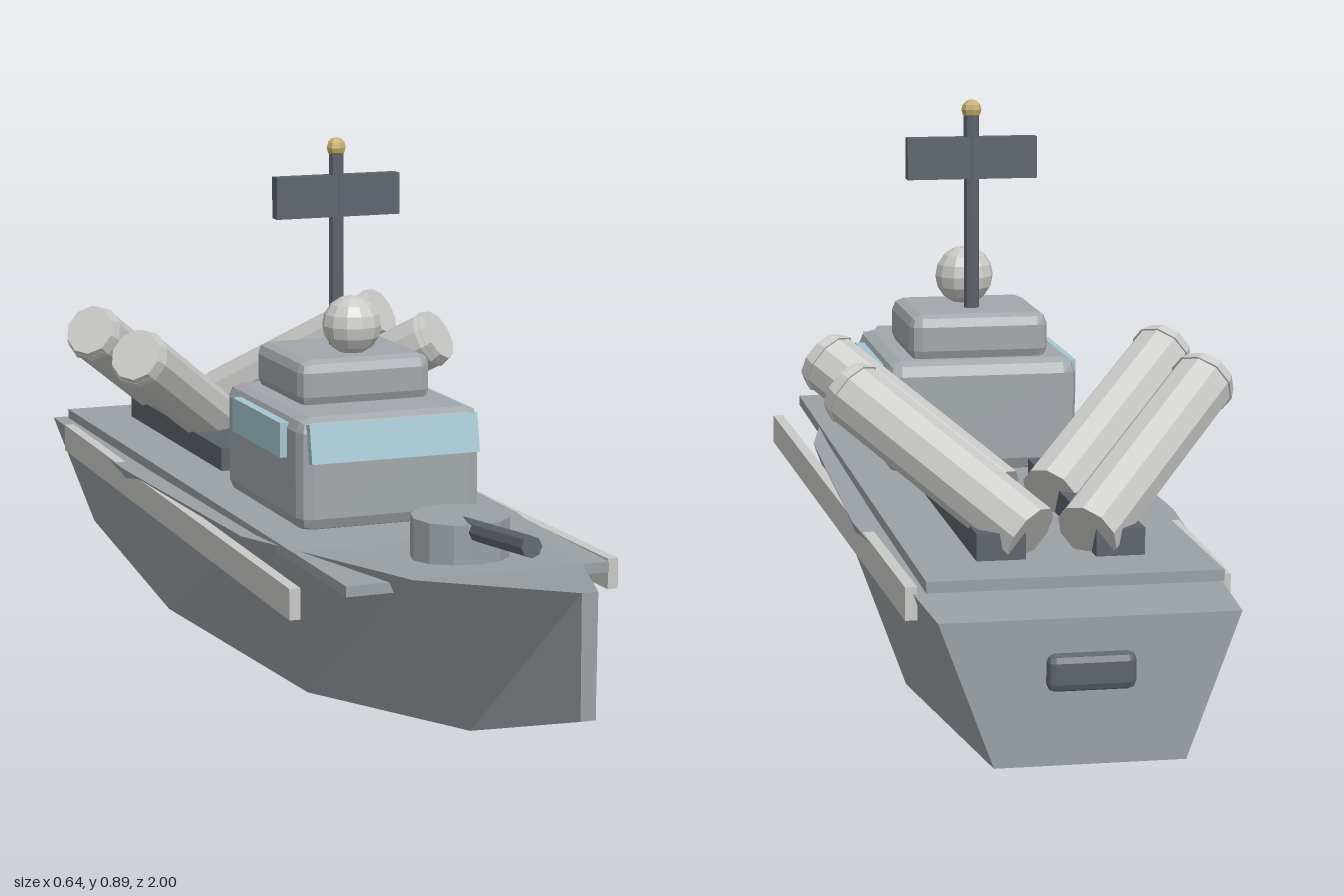
import * as THREE from 'three';
import { RoundedBoxGeometry } from 'three/addons/geometries/RoundedBoxGeometry.js';

const mat = (name, color, extra = {}) => {
  const m = new THREE.MeshStandardMaterial({ color, flatShading: true, ...extra });
  m.name = name;
  return m;
};

export function createModel() {
  const ship = new THREE.Group();
  ship.name = 'patrolBoat';
  const hullGray = mat('hull gray', 0x9aa0a5);
  const cabinGray = mat('cabin gray', 0xa2a7ab);
  const lightGray = mat('light gray', 0xc9c9c7);
  const darkGray = mat('dark gray', 0x5d636c);
  const glass = mat('pale blue glass', 0xa3c6d2);
  const brass = mat('brass', 0xc4ad6c);

  const add = (name, geo, material, x = 0, y = 0, z = 0, parent = ship) => {
    const mesh = new THREE.Mesh(geo, material);
    mesh.name = name;
    mesh.position.set(x, y, z);
    parent.add(mesh);
    return mesh;
  };
  const box = (w, h, d) => new THREE.BoxGeometry(w, h, d);
  const chamferBox = (w, h, d, c) => new RoundedBoxGeometry(w, h, d, 1, c);

  // Hull lofted through sections: z, deck half width, deck y, keel half width, keel y
  const sections = [
    [1.0, 0.013, 0.35, 0.012, 0.16],
    [0.68, 0.14, 0.305, 0.045, 0.06],
    [0.2, 0.245, 0.275, 0.13, 0],
    [-0.4, 0.26, 0.268, 0.175, 0],
    [-0.985, 0.22, 0.25, 0.14, 0.035],
  ];
  const pos = [], idx = [];
  for (const [z, dw, dy, kw, ky] of sections) {
    pos.push(dw, dy, z, -dw, dy, z, -kw, ky, z, kw, ky, z);
  }
  for (let i = 0; i < sections.length - 1; i++) {
    for (let k = 0; k < 4; k++) {
      const a = i * 4 + k, b = i * 4 + (k + 1) % 4, c = b + 4, d = a + 4;
      if (k === 1) idx.push(a, d, c, a, c, b);
      else idx.push(a, d, b, b, d, c);
    }
  }
  const e = (sections.length - 1) * 4;
  idx.push(0, 1, 2, 0, 2, 3, e, e + 2, e + 1, e, e + 3, e + 2);
  let hullGeo = new THREE.BufferGeometry();
  hullGeo.setAttribute('position', new THREE.Float32BufferAttribute(pos, 3));
  hullGeo.setIndex(idx);
  hullGeo = hullGeo.toNonIndexed();
  hullGeo.computeVertexNormals();
  add('hull', hullGeo, hullGray);

  // Deck and stern hatch
  add('deckPlate', box(0.44, 0.017, 1.49), hullGray, 0, 0.277, -0.137);
  add('sternHatch', chamferBox(0.13, 0.055, 0.03, 0.012), darkGray, 0, 0.172, -0.985);

  // Bridge
  add('cabin', chamferBox(0.32, 0.19, 0.375, 0.024), cabinGray, 0, 0.375, 0.063);
  add('upperCabin', chamferBox(0.234, 0.08, 0.23, 0.02), cabinGray, 0, 0.503, 0.023);
  add('frontWindow', box(0.294, 0.065, 0.015), glass, 0, 0.43, 0.255).rotation.x = -0.2;

  // Mast, radar panel and dome
  add('radarDome', new THREE.SphereGeometry(0.05, 12, 8), lightGray, 0, 0.588, 0.065);
  add('mast', new THREE.CylinderGeometry(0.013, 0.013, 0.34, 8), darkGray, 0, 0.7, -0.007);
  add('radarPanel', box(0.22, 0.07, 0.024), darkGray, 0, 0.797, -0.007);
  add('mastLight', new THREE.SphereGeometry(0.017, 8, 6), brass, 0, 0.878, -0.007);

  // Deck gun
  add('gunTurret', new THREE.CylinderGeometry(0.078, 0.078, 0.08, 12), hullGray, 0, 0.322, 0.53);
  add('gunBarrel', new THREE.CylinderGeometry(0.017, 0.017, 0.28, 8), darkGray, 0, 0.357, 0.66)
    .rotation.x = Math.PI / 2 - 0.1;

  // Parts mirrored to each side
  const up = new THREE.Vector3(0, 1, 0);
  for (const s of [1, -1]) {
    add('sideWindow', box(0.024, 0.058, 0.235), glass, s * 0.16, 0.426, 0.068);
    add('sideRail', box(0.018, 0.05, 1.35), lightGray, s * 0.252, 0.241, -0.155).rotation.y = s * 0.027;
    add('launcherCradle', box(0.074, 0.045, 0.53), darkGray, s * 0.09, 0.304, -0.505);

    // Angled launch tubes with end lids
    for (const z of [-0.356, -0.631]) {
      const tube = new THREE.Group();
      tube.name = 'launchTube';
      tube.position.set(s * 0.164, 0.411, z);
      tube.quaternion.setFromUnitVectors(up, new THREE.Vector3(s * 0.242, 0.187, 0.242).normalize());
      ship.add(tube);
      add('tubeBody', new THREE.CylinderGeometry(0.05, 0.05, 0.38, 10), lightGray, 0, -0.005, 0, tube);
      add('tubeLid', new THREE.CylinderGeometry(0.046, 0.053, 0.02, 10), lightGray, 0, 0.185, 0, tube);
    }
  }
  return ship;
}
